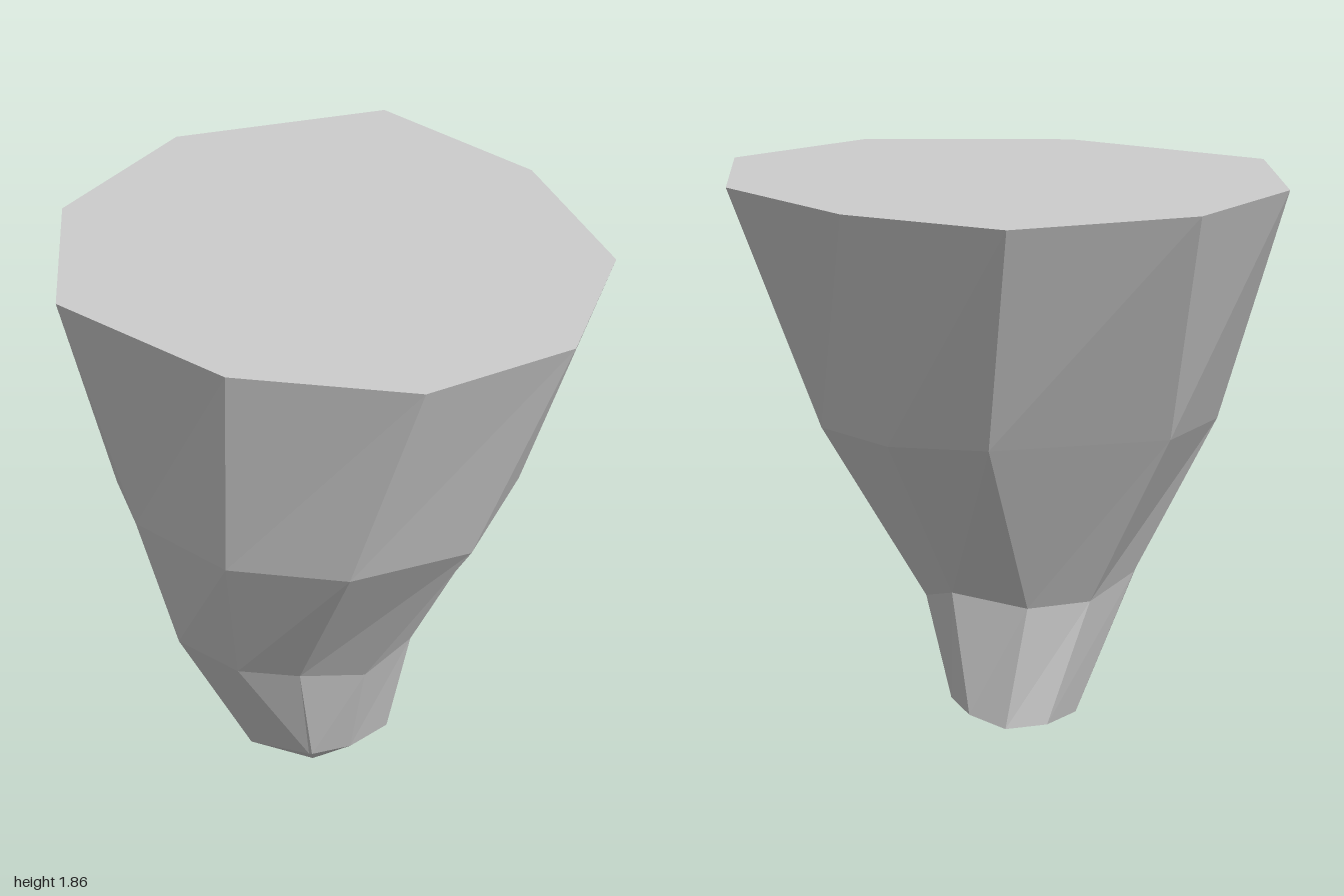
import * as THREE from 'three';

// Cross-sections from top to bottom; each runs clockwise seen from above, starting at the back.
const rim = [[0.06, -1], [0.75, -0.78], [0.93, -0.15], [0.82, 0.54], [0.36, 1],
  [-0.24, 1], [-0.74, 0.53], [-0.93, -0.22], [-0.54, -0.78]].map(([x, z]) => [x, 1.86, z]);
const shoulder = [[-0.16, 1.03, -0.6], [0.52, 1.045, -0.44], [0.66, 1.035, -0.09], [0.54, 1.035, 0.37],
  [0.13, 1.02, 0.71], [-0.35, 1.045, 0.7], [-0.64, 1.03, 0.38], [-0.7, 1.02, -0.08], [-0.6, 1.03, -0.35]];
const waist = [[-0.1, 0.45, -0.265], [0.12, 0.44, -0.195], [0.285, 0.49, 0], [0.21, 0.45, 0.21],
  [-0.06, 0.45, 0.345], [-0.31, 0.51, 0.33], [-0.48, 0.525, 0.21], [-0.56, 0.555, -0.03], [-0.35, 0.52, -0.21]];
const foot = [[0.04, 0.04, -0.205], [0.17, 0.03, -0.14], [0.22, 0.07, -0.015], [0.16, 0.105, 0.14],
  [-0.05, 0.13, 0.24], [-0.2, 0.14, 0.235], [-0.205, 0.138, 0.225], [-0.27, 0.09, -0.03], [-0.135, 0.06, -0.155]];
const tip = [-0.07, 0, 0.04];

function facetMesh(name, triangles, material) {
  const geometry = new THREE.BufferGeometry();
  geometry.setAttribute('position', new THREE.Float32BufferAttribute(triangles.flat(2), 3));
  geometry.computeVertexNormals();
  const mesh = new THREE.Mesh(geometry, material);
  mesh.name = name;
  return mesh;
}

// Ring of facets between two cross-sections
function band(upper, lower) {
  return upper.flatMap((a, i) => {
    const j = (i + 1) % upper.length;
    return [[a, upper[j], lower[j]], [a, lower[j], lower[i]]];
  });
}

// Fan closing a cross-section to one point
function fan(ring, centre, facesUp) {
  return ring.map((a, i) => {
    const b = ring[(i + 1) % ring.length];
    return facesUp ? [centre, b, a] : [centre, a, b];
  });
}

export function createModel() {
  const stone = new THREE.MeshStandardMaterial({ color: 0xcccccc, flatShading: true });
  stone.name = 'light grey stone';

  const group = new THREE.Group();
  group.name = 'taperedRock';
  group.add(
    facetMesh('topFace', fan(rim, [0, 1.86, 0], true), stone),
    facetMesh('upperBody', band(rim, shoulder), stone),
    facetMesh('lowerBody', band(shoulder, waist), stone),
    facetMesh('neck', band(waist, foot), stone),
    facetMesh('underside', fan(foot, tip, false), stone)
  );
  return group;
}
